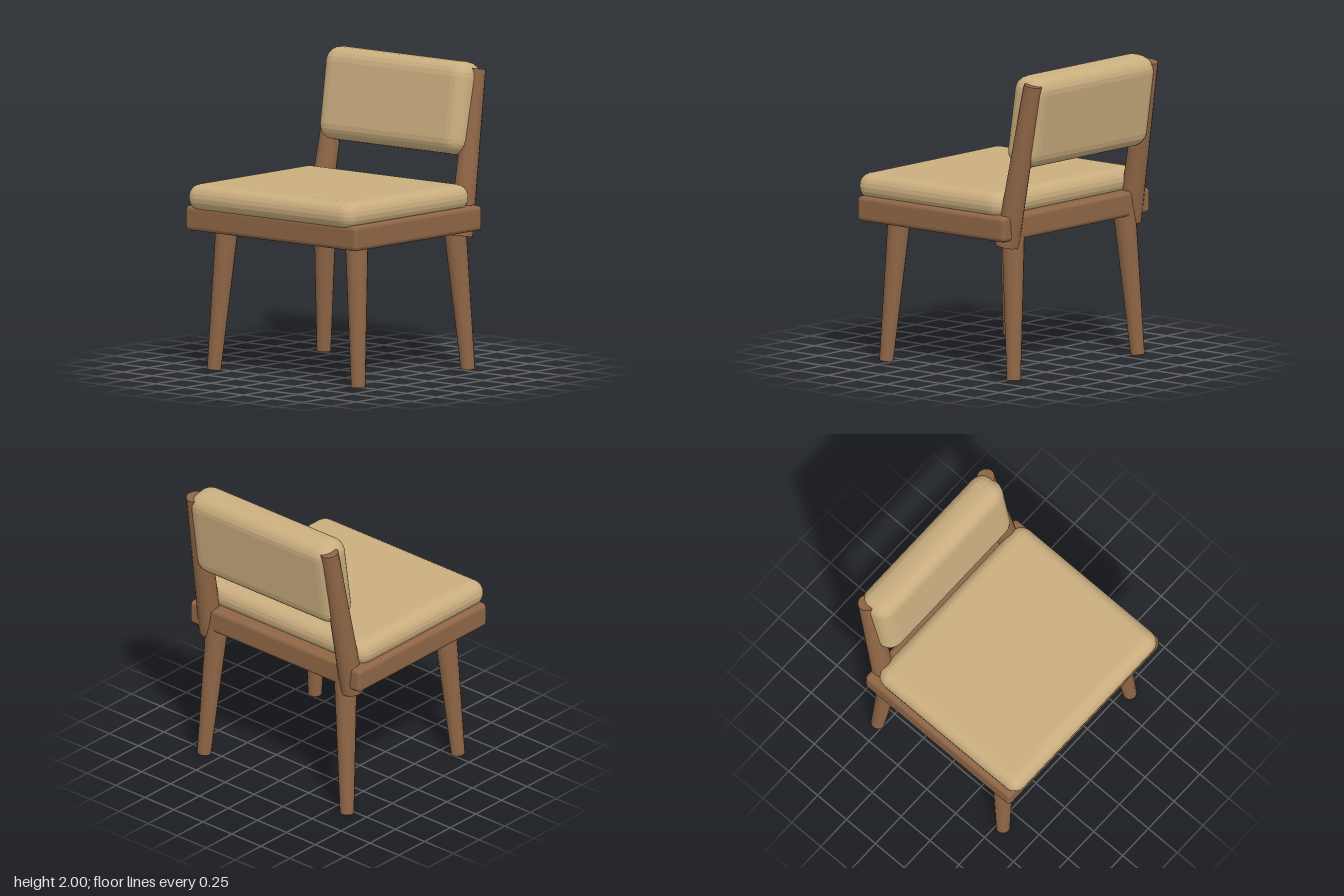
import * as THREE from 'three';
import { RoundedBoxGeometry } from 'three/addons/geometries/RoundedBoxGeometry.js';

export function createModel() {
  const chair = new THREE.Group();
  chair.name = 'chair';

  const wood = new THREE.MeshStandardMaterial({ color: 0x8f6646 });
  wood.name = 'wood';
  const fabric = new THREE.MeshStandardMaterial({ color: 0xcaae7f, flatShading: true });
  fabric.name = 'fabric';

  function roundedBox(name, material, size, radius, segments, position, tilt = 0) {
    const mesh = new THREE.Mesh(new RoundedBoxGeometry(...size, segments, radius), material);
    mesh.name = name;
    mesh.position.set(...position);
    mesh.rotation.x = tilt;
    chair.add(mesh);
  }

  // Tapered round bar running from one point to another
  function bar(name, from, to, radiusFrom, radiusTo) {
    const a = new THREE.Vector3(...from);
    const axis = new THREE.Vector3(...to).sub(a);
    const mesh = new THREE.Mesh(
      new THREE.CylinderGeometry(radiusTo, radiusFrom, axis.length(), 16), wood);
    mesh.name = name;
    mesh.position.copy(a).addScaledVector(axis, 0.5);
    mesh.quaternion.setFromUnitVectors(new THREE.Vector3(0, 1, 0), axis.normalize());
    chair.add(mesh);
  }

  // Seat frame and cushions
  roundedBox('seatFrame', wood, [1.47, 0.165, 1.255], 0.03, 2, [0, 1.0025, 0.0725]);
  roundedBox('seatCushion', fabric, [1.42, 0.175, 1.225], 0.085, 3, [0, 1.1425, 0.1225]);
  roundedBox('backCushion', fabric, [1.22, 0.607, 0.245], 0.1, 3, [0, 1.696, -0.585], -0.145);

  // Splayed legs and raked back posts, mirrored left and right
  for (const [side, s] of [['left', 1], ['right', -1]]) {
    for (const [end, e] of [['Front', 1], ['Back', -1]]) {
      bar(`${side}${end}Leg`, [s * 0.617, 0.005, e * 0.541], [s * 0.553, 0.97, e * 0.482], 0.046, 0.075);
    }
    bar(`${side}BackPost`, [s * 0.61, 0.88, -0.48], [s * 0.579, 1.95, -0.672], 0.078, 0.059);
  }

  return chair;
}
